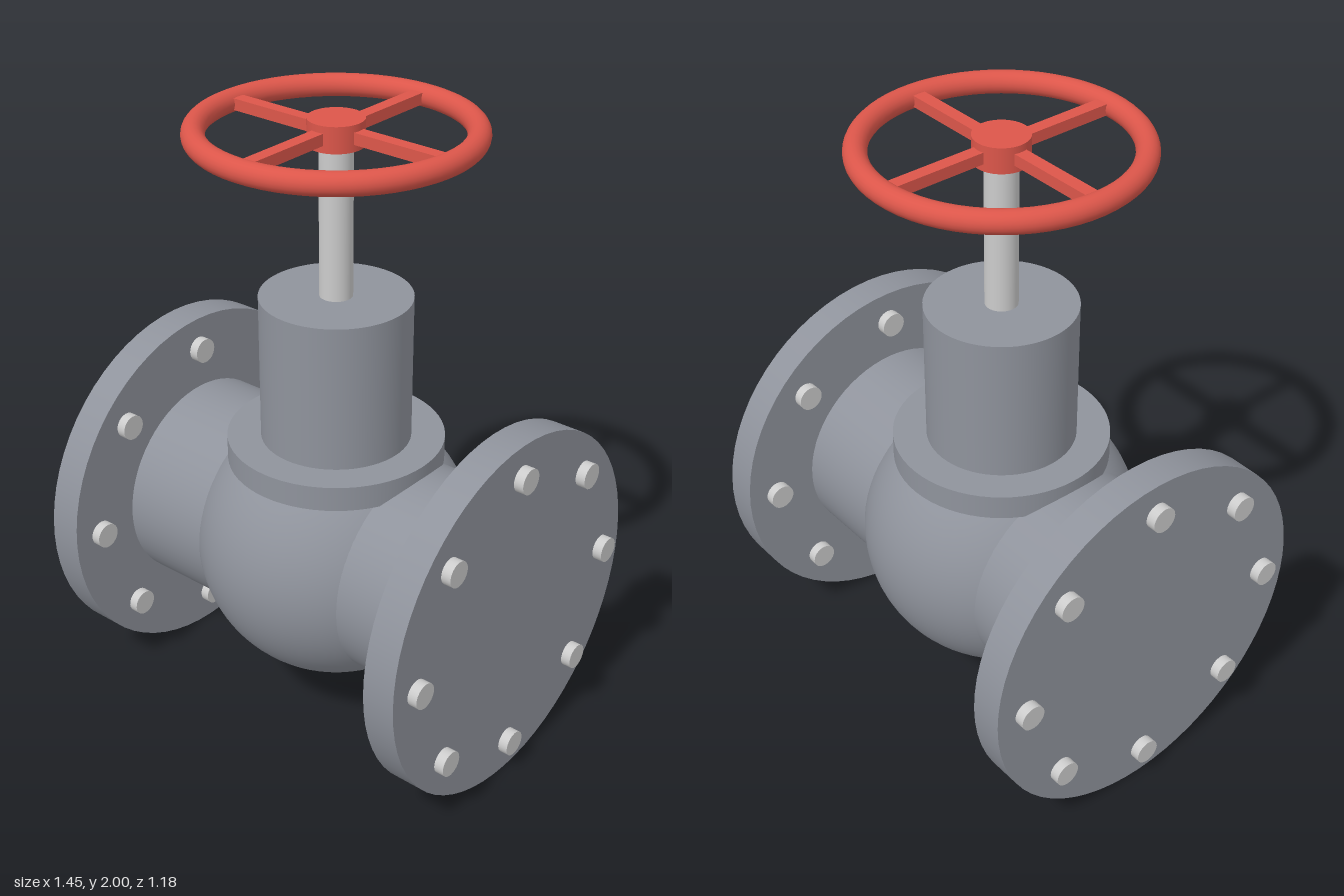
import * as THREE from 'three';

const AXIS_Y = 0.592; // height of the pipe axis

export function createModel() {
  const model = new THREE.Group();
  const iron = new THREE.MeshStandardMaterial({ color: 0x8f939c });
  const steel = new THREE.MeshStandardMaterial({ color: 0xcccccc });
  const red = new THREE.MeshStandardMaterial({ color: 0xdc564a });

  const add = (parent, name, geometry, material, x = 0, y = 0, z = 0) => {
    const mesh = new THREE.Mesh(geometry, material);
    mesh.name = name;
    mesh.position.set(x, y, z);
    parent.add(mesh);
    return mesh;
  };
  // Upright cylinder between two heights
  const upright = (parent, name, radius, y0, y1, material) =>
    add(parent, name, new THREE.CylinderGeometry(radius, radius, y1 - y0, 64), material, 0, (y0 + y1) / 2);
  // Cylinder lying along x between two positions
  const lying = (radius, x0, x1, segments) =>
    new THREE.CylinderGeometry(radius, radius, x1 - x0, segments)
      .rotateZ(-Math.PI / 2).translate((x0 + x1) / 2, 0, 0);

  // Valve body with its pipe
  add(model, 'body', new THREE.SphereGeometry(0.445, 64, 40), iron, 0, AXIS_Y);
  add(model, 'pipe', lying(0.342, -0.6, 0.6, 64), iron, 0, AXIS_Y);

  // End flanges, each with a ring of eight bolts
  for (const side of [1, -1]) {
    const end = new THREE.Group();
    end.name = side > 0 ? 'leftFlange' : 'rightFlange';
    end.position.y = AXIS_Y;
    if (side < 0) end.rotation.y = Math.PI;
    model.add(end);
    add(end, 'flange', lying(0.588, 0.588, 0.695, 64), iron);
    for (let i = 0; i < 8; i++) {
      const a = (i * Math.PI) / 4;
      add(end, 'bolt', lying(0.041, 0.557, 0.727, 24), steel, 0, 0.481 * Math.sin(a), 0.481 * Math.cos(a));
    }
  }

  // Bonnet and stem
  upright(model, 'collar', 0.34, 0.895, 0.975, iron);
  upright(model, 'bonnet', 0.235, 0.97, 1.445, iron);
  upright(model, 'stem', 0.051, 1.44, 1.93, steel);

  // Handwheel
  const wheel = new THREE.Group();
  wheel.name = 'handwheel';
  wheel.position.y = 1.96;
  model.add(wheel);
  add(wheel, 'rim', new THREE.TorusGeometry(0.408, 0.035, 20, 64).rotateX(Math.PI / 2), red);
  upright(wheel, 'hub', 0.085, -0.04, 0.04, red);
  for (let i = 0; i < 4; i++) {
    const spoke = new THREE.BoxGeometry(0.33, 0.036, 0.042).translate(0.225, 0, 0);
    add(wheel, 'spoke', spoke, red).rotation.y = (i * Math.PI) / 2;
  }

  return model;
}
